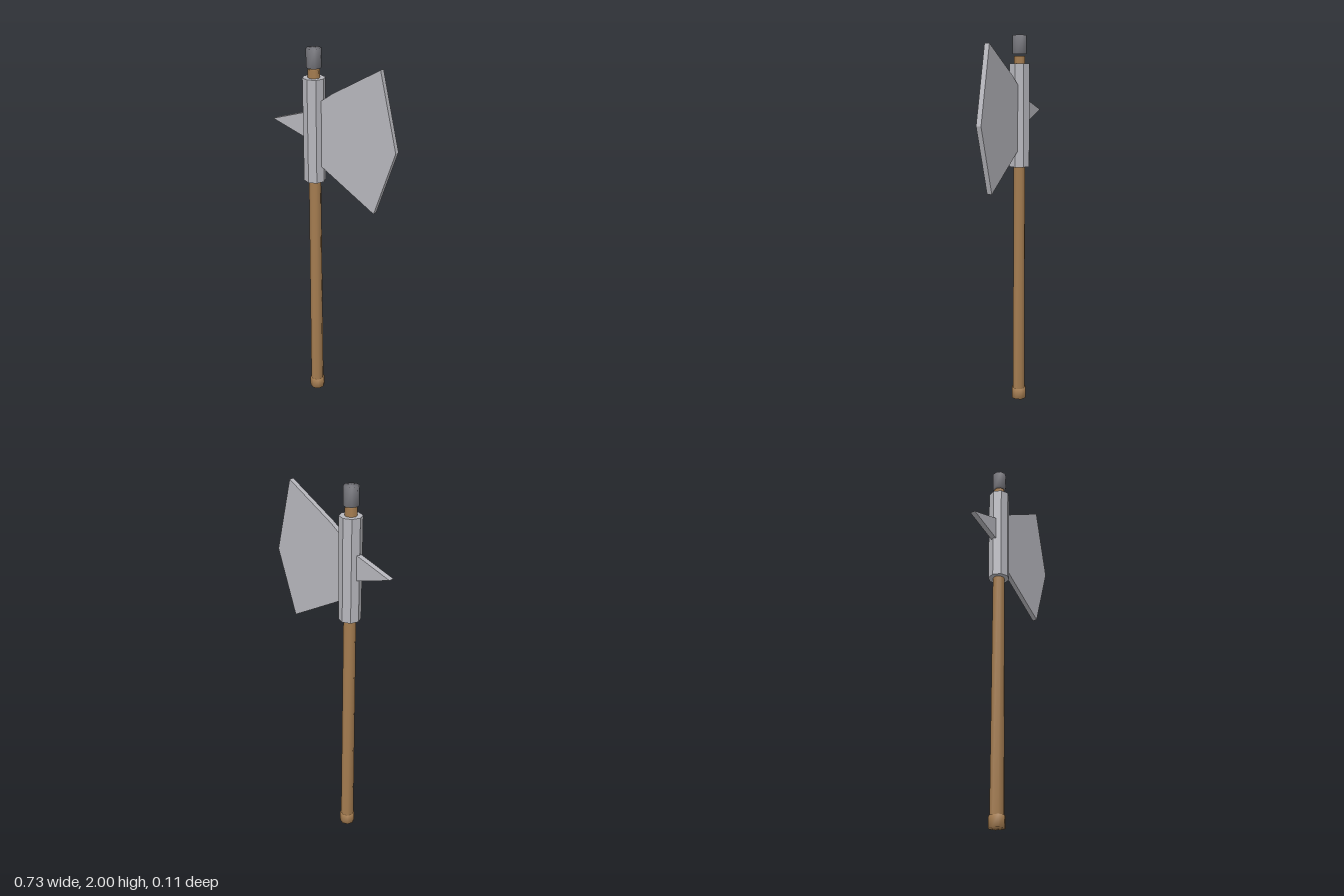
import * as THREE from 'three';
import { mergeVertices } from 'three/addons/utils/BufferGeometryUtils.js';

const AXIS = -0.116; // x of the shaft

export function createModel() {
  const group = new THREE.Group();
  const mat = (name, color, flatShading = false) => {
    const m = new THREE.MeshStandardMaterial({ color, flatShading });
    m.name = name;
    return m;
  };
  const wood = mat('wood', 0xa47c50);
  const steel = mat('steel', 0xb6b6bc, true);
  const iron = mat('darkIron', 0x77777d);

  const add = (name, geometry, material) => {
    const mesh = new THREE.Mesh(geometry, material);
    mesh.name = name;
    group.add(mesh);
  };

  // Eight-sided rod between two heights; soft ones share normals with their caps
  const rod = (name, y0, y1, r0, r1, material) => {
    let g = new THREE.CylinderGeometry(r1, r0, y1 - y0, 8);
    if (!material.flatShading) {
      g.deleteAttribute('normal');
      g.deleteAttribute('uv');
      g = mergeVertices(g);
      g.computeVertexNormals();
    }
    g.translate(AXIS, (y0 + y1) / 2, 0);
    add(name, g, material);
  };

  // Flat plate cut from an outline, centred on z = 0
  const plate = (name, outline, depth) => {
    const shape = new THREE.Shape(outline.map(([x, y]) => new THREE.Vector2(x, y)));
    const g = new THREE.ExtrudeGeometry(shape, { depth, bevelEnabled: false });
    g.translate(0, 0, -depth / 2);
    add(name, g, steel);
  };

  // Shaft and its end pieces
  rod('handle', 0.03, 1.895, 0.036, 0.03, wood);
  rod('pommel', 0, 0.06, 0.041, 0.041, wood);
  rod('topKnob', 1.905, 2, 0.038, 0.038, iron);

  // Axe head
  rod('socket', 1.323, 1.857, 0.057, 0.057, steel);
  plate('blade', [[-0.1, 1.725], [-0.1, 1.425], [-0.063, 1.407], [0.25, 1.227],
    [0.363, 1.57], [0.267, 1.952], [0, 1.797]], 0.026);
  plate('backSpike', [[-0.366, 1.608], [-0.13, 1.535], [-0.13, 1.688]], 0.029);

  return group;
}
